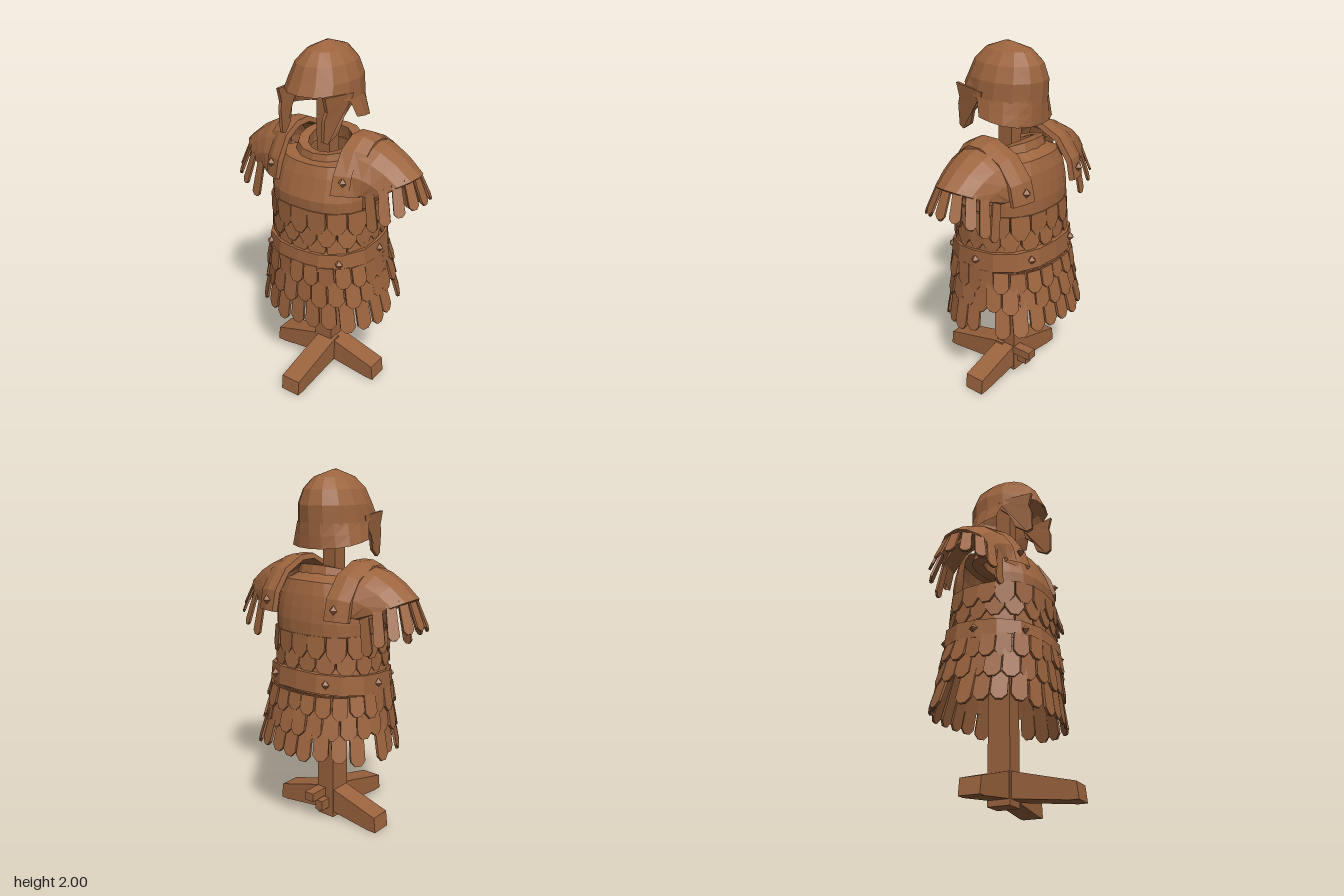
import * as THREE from 'three';

const V = (x, y, z) => new THREE.Vector3(x, y, z);
const { sin, cos, abs, PI } = Math;

export function createModel() {
  const model = new THREE.Group();
  const bronze = new THREE.MeshStandardMaterial({ color: 0x9c643e, side: THREE.DoubleSide });
  bronze.name = 'brown';

  let seed = 7;
  const jitter = (s) => ((seed = (seed * 16807) % 2147483647) / 2147483647 - 0.5) * 2 * s;

  // Adds a faceted mesh
  function add(name, geo, parent) {
    const g = geo.index ? geo.toNonIndexed() : geo;
    g.computeVertexNormals();
    const mesh = new THREE.Mesh(g, bronze);
    mesh.name = name;
    parent.add(mesh);
    return mesh;
  }
  function group(name) {
    const g = new THREE.Group();
    g.name = name;
    model.add(g);
    return g;
  }
  function box(name, w, h, d, x, y, z, parent) {
    add(name, new THREE.BoxGeometry(w, h, d), parent).position.set(x, y, z);
  }
  // Surface from a rule f(u, v), u and v from 0 to 1
  function patch(f, nu, nv) {
    const pos = [], idx = [], w = nu + 1;
    for (let j = 0; j <= nv; j++)
      for (let i = 0; i <= nu; i++) pos.push(...f(i / nu, j / nv).toArray());
    for (let j = 0; j < nv; j++)
      for (let i = 0; i < nu; i++) {
        const a = j * w + i, b = a + w;
        idx.push(a, a + 1, b, a + 1, b + 1, b);
      }
    const g = new THREE.BufferGeometry();
    g.setAttribute('position', new THREE.Float32BufferAttribute(pos, 3));
    g.setIndex(idx);
    return g;
  }
  // Flat polygon with thickness
  function slab(points, depth) {
    const shape = new THREE.Shape(points.map(([x, y]) => new THREE.Vector2(x, y)));
    return new THREE.ExtrudeGeometry(shape, { depth, bevelEnabled: false });
  }
  // Interpolates rows of numbers keyed by their first entry
  function lookup(rows, k) {
    let i = 0;
    while (i < rows.length - 2 && k > rows[i + 1][0]) i++;
    const t = (k - rows[i][0]) / (rows[i + 1][0] - rows[i][0]);
    return rows[i].map((r, n) => r + (rows[i + 1][n] - r) * t);
  }
  // Rounded-square outline, angle 0 at the front
  function outline(a, rx, rz, zc, y, n = 2.5) {
    const r = (abs(sin(a)) ** n + abs(cos(a)) ** n) ** (-1 / n);
    return V(rx * r * sin(a), y, zc + rz * r * cos(a));
  }
  // Body form: height, half width, half depth, centre z
  const BODY = [[0.45, 0.37, 0.335, -0.055], [0.8, 0.285, 0.265, -0.025], [1.0, 0.285, 0.255, -0.02],
    [1.2, 0.295, 0.265, -0.015], [1.34, 0.28, 0.23, -0.03], [1.46, 0.2, 0.18, -0.04]];
  function body(a, y, out = 0) {
    const [, rx, rz, zc] = lookup(BODY, y);
    return outline(a, rx + out, rz + out, zc, y);
  }
  // Hanging strip with a pointed end, from p0 down to p1
  function strip(name, p0, p1, tangent, w0, w1, parent, tip = 0.025, thick = 0.014) {
    const up = p0.clone().sub(p1), L = up.length();
    up.normalize();
    const n = tangent.clone().cross(up).normalize();
    const t = up.clone().cross(n);
    const geo = slab([[-w0 / 2, 0], [-w1 / 2, -L + tip], [-w1 / 5, -L], [w1 / 5, -L],
      [w1 / 2, -L + tip], [w0 / 2, 0]], thick);
    geo.applyMatrix4(new THREE.Matrix4().makeBasis(t, up, n).setPosition(p0));
    add(name, geo, parent);
  }
  function stud(p, parent) {
    add('stud', new THREE.OctahedronGeometry(0.026), parent).position.copy(p);
  }

  // Stand: post and legs
  const stand = group('stand');
  box('lowerPost', 0.115, 0.95, 0.13, 0, 0.475, -0.02, stand);
  box('upperPost', 0.085, 1.0, 0.09, 0, 1.43, -0.005, stand);
  [[0.36, 0, 0, 0], [0.36, PI, 0, 0], [0.42, -PI / 2, 0.02, -0.01]].forEach(([L, turn, x, z]) => {
    const leg = slab([[0, 0.04], [L - 0.05, 0], [L, 0], [L - 0.01, 0.09], [0.04, 0.18], [0, 0.18]], 0.12);
    leg.translate(0, 0, -0.06).rotateY(turn).translate(x, 0, z - (x ? 0 : 0.02));
    add('leg', leg, stand);
  });
  box('backPeg', 0.06, 0.05, 0.14, 0.03, 0.15, -0.13, stand);
  box('backPegBlock', 0.05, 0.06, 0.08, 0.0, 0.085, -0.11, stand);

  // Cuirass: full lower shell, then front and back panels leaving armholes
  const cuirass = group('cuirass');
  const neck = (a, o, h) => outline(a, 0.175 + o, 0.15 + o, -0.025, 1.43 + h - 0.045 * cos(a), 2.1);
  add('lowerShell', patch((u, v) => body(u * 2 * PI, 0.78 + v * 0.37), 24, 3), cuirass);
  [0, PI].forEach((mid) => add(mid ? 'backPanel' : 'breastPanel', patch((u, v) => {
    const a = mid + (u - 0.5) * 2 * 1.18;
    return v === 1 ? neck(a, 0, 0) : body(a, 1.15 + v * (0.32 - 0.03 * cos(a)), 0.012);
  }, 10, 5), cuirass));

  // Closed band with a four-cornered section of [outward, height]
  function band(name, section, place, n) {
    add(name, patch((u, v) => place(u * 2 * PI, ...section[Math.round(v * 4) % 4]), n, 4), cuirass);
  }
  band('collar', [[0.03, -0.045], [0.005, 0.035], [-0.05, 0.03], [-0.04, -0.045]], neck, 14);

  // Body scales in overlapping rows
  const scales = group('bodyScales');
  [[1.15, 0.13], [1.07, 0.13], [0.99, 0.12]].forEach(([y, len], row) => {
    const n = 18;
    for (let i = 0; i < n; i++) {
      const a = ((i + (row % 2) / 2) / n) * 2 * PI;
      const tangent = body(a + 0.05, y).sub(body(a - 0.05, y));
      strip('scale', body(a, y, 0.002), body(a, y - len + jitter(0.012), 0.016 + jitter(0.006)),
        tangent, 0.105, 0.105, scales, 0.045);
    }
  });

  // Belt with studs
  const beltY = (a) => 0.88 - 0.027 * cos(a);
  band('belt', [[0.052, -0.055], [0.042, 0.05], [0.0, 0.055], [0.0, -0.06]],
    (a, o, h) => body(a, 0.9, o).setY(beltY(a) + h), 16);
  const studs = group('studs');
  [0.72, 1.6, 2.6].forEach((a) => [a, -a].forEach((b) => stud(body(b, 0.9, 0.046).setY(beltY(b)), studs)));

  // Skirt: long strips, parted at the sides, under two shorter scale layers
  const skirt = group('skirt');
  [[0.425, 0, 0.074, 0.086, 0.006], [0.58, 0.5, 0.078, 0.09, 0.02], [0.7, 0, 0.08, 0.086, 0.034]]
    .forEach(([end, shift, w0, w1, out], layer) => {
      const n = 24;
      for (let i = 0; i < n; i++) {
        if (layer === 0 && (i === 7 || i === 17)) continue;
        const a = ((i + shift) / n) * 2 * PI;
        const yEnd = end + (layer ? 0.012 : 0.033) * (1 - cos(a)) + jitter(0.014);
        const tangent = body(a + 0.05, 0.7).sub(body(a - 0.05, 0.7));
        strip(layer ? 'skirtScale' : 'skirtStrip', body(a, 0.83, out), body(a, yEnd, out + jitter(0.012)),
          tangent, w0, w1, skirt, 0.03);
      }
    });

  // Shoulder guards, built for the left side and mirrored
  const STRAP = [[0.23, 1.26], [0.2, 1.36], [0.125, 1.48], [0.03, 1.53], [-0.07, 1.53],
    [-0.2, 1.47], [-0.285, 1.36], [-0.31, 1.25]];
  const edge = (t, k = 1) => V(0.32 + 0.235 * k * sin(t), 1.25 + 0.115 * sin(t), -0.035 + 0.18 * cos(t));
  [1, -1].forEach((s) => {
    const shoulder = group(s > 0 ? 'leftShoulder' : 'rightShoulder');
    const flip = (p) => p.setX(p.x * s);
    // Strap over the shoulder, wrapping back at its outer edge
    const section = [[0.17, -0.025], [0.18, 0.005], [0.245, 0.005], [0.31, -0.015], [0.31, -0.035], [0.17, -0.025]];
    add('strap', patch((u, v) => {
      const [z, y] = STRAP[Math.round(u * 7)], [x, o] = section[Math.round(v * 5)];
      const d = V(0, y - 1.2, (z + 0.03) * 0.9).normalize();
      const wrap = Math.max(0, x - 0.18) * (z > 0 ? 1.6 : 0.5) * (z + 0.03);
      return flip(V(x, y + d.y * o, z + d.z * o - wrap));
    }, 7, 5), shoulder);
    stud(V(s * 0.235, 1.335, 0.2), shoulder);
    stud(V(s * 0.235, 1.31, -0.3), shoulder);

    // Domed plate over the upper arm
    add('shoulderPlate', patch((u, v) => {
      const t = 0.08 + u * (PI - 0.16);
      const inner = V(0.27, 1.25 + 0.27 * sin(t), -0.04 + 0.235 * cos(t));
      const p = inner.lerp(edge(t), v);
      p.y += 0.03 * sin(PI * v) * sin(t);
      return flip(p);
    }, 8, 3), shoulder);
    add('shoulderPlateRim', patch((u, v) => {
      const t = 0.08 + u * (PI - 0.16);
      return flip(edge(t, 1 - 0.08 * v).add(V(0, -0.02 * v, 0)));
    }, 8, 1), shoulder);

    // Fanned arm strips
    for (let i = 0; i < 9; i++) {
      const t = 0.2 + (i / 8) * (PI - 0.4);
      const p0 = edge(t, 0.9).add(V(0, 0.01, 0));
      const drop = 0.155 + 0.06 * (1 - sin(t)) + jitter(0.012);
      const p1 = p0.clone().add(V(0.035 + 0.035 * sin(t) ** 2, -drop, 0.045 * sin(2 * t)));
      const tangent = edge(t + 0.05).sub(edge(t - 0.05)).setY(0);
      tangent.z *= s;
      strip('armStrip', flip(p0), flip(p1), V(-tangent.x, 0, -tangent.z), 0.05, 0.06, shoulder, 0.02, 0.012);
    }
  });

  // Helmet dome: height, half width, front z, back z
  const helmet = group('helmet');
  const DOME = [[1.72, 0.188, 0.245, -0.215], [1.82, 0.178, 0.23, -0.22], [1.9, 0.145, 0.195, -0.195],
    [1.96, 0.09, 0.135, -0.14], [2.0, 0.004, 0.02, -0.01]];
  const dome = (a, y) => {
    const [, rx, zf, zb] = lookup(DOME, y);
    return outline(a, rx, (zf - zb) / 2, (zf + zb) / 2, y, 2.15);
  };
  add('dome', patch((u, v) => {
    const a = u * 2 * PI;
    const p = dome(a, DOME[Math.round(v * 4)][0]);
    if (v === 0 && cos(a) > 0.3) p.add(V(0, 0.045, 0.012));
    return p;
  }, 14, 4), helmet);
  // Flared neck guard
  add('neckGuard', patch((u, v) => {
    const a = 1.35 + u * (2 * PI - 2.7);
    const low = outline(a, 0.212, 0.2, -0.012, 1.63 + 0.035 * cos(a), 2.5);
    return dome(a, 1.73).lerp(low, v);
  }, 10, 2), helmet);
  // Cheek guards, curving inward to the front and bottom
  [1, -1].forEach((s) => {
    const cheek = slab([[0.03, 1.76], [0.045, 1.7], [0.1, 1.65], [0.13, 1.57], [0.2, 1.525],
      [0.23, 1.54], [0.23, 1.66], [0.215, 1.7], [0.235, 1.775]], 0.018);
    const p = cheek.attributes.position;
    for (let i = 0; i < p.count; i++) {
      const z = p.getX(i), y = p.getY(i), d = p.getZ(i);
      const x = 0.168 + d - Math.max(0, z - 0.08) * 0.22 - (1.76 - y) * 0.06;
      p.setXYZ(i, s * x, y, z);
    }
    add('cheekGuard', cheek, helmet);
  });

  return model;
}
